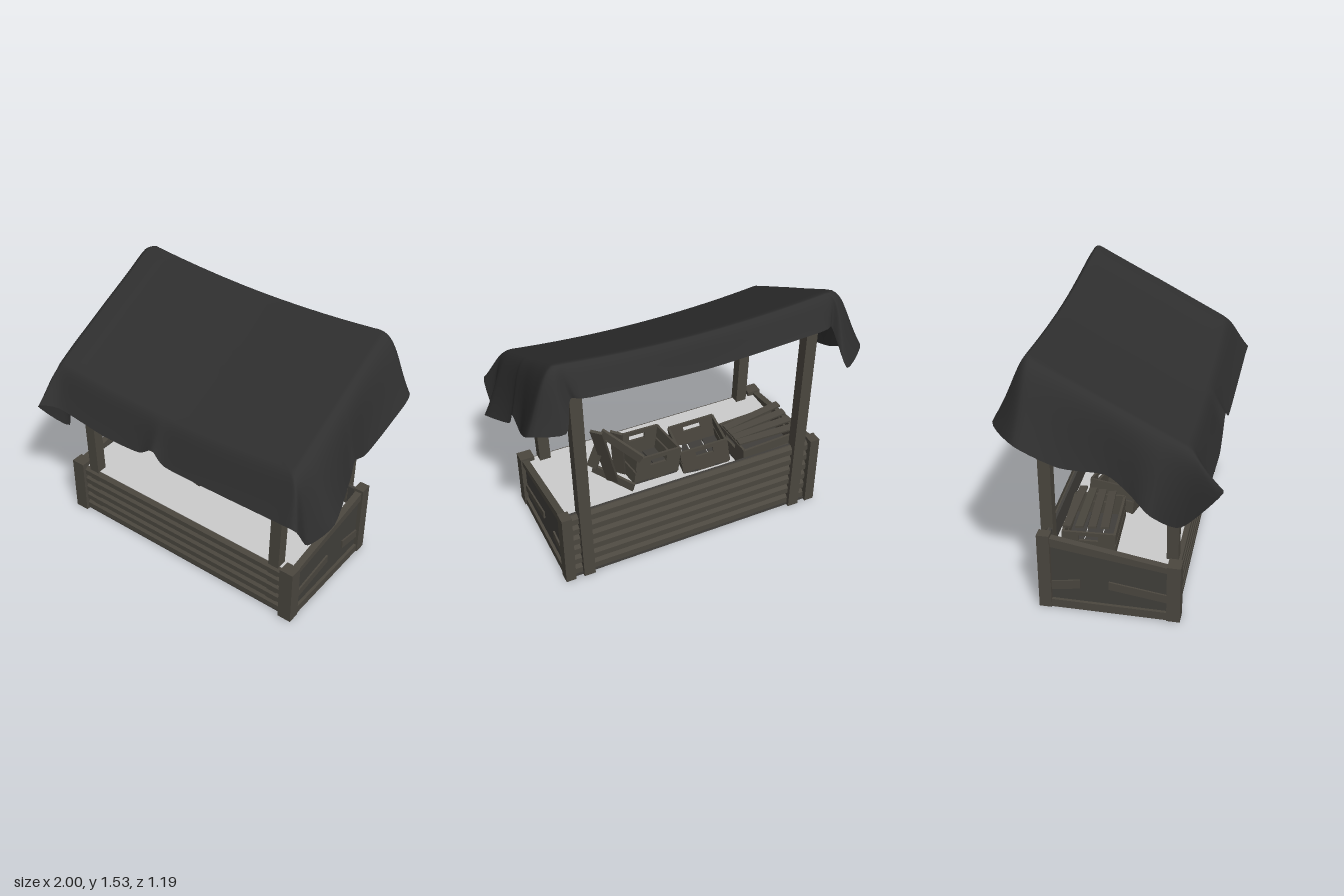
import * as THREE from 'three';

const wood = new THREE.MeshStandardMaterial({ color: 0x4b473f });
const darkWood = new THREE.MeshStandardMaterial({ color: 0x413f3b });
const cloth = new THREE.MeshStandardMaterial({ color: 0x2f2f2f, side: THREE.DoubleSide });
const grey = new THREE.MeshStandardMaterial({ color: 0xcccccc });

function add(parent, name, geo, mat = wood) {
  const m = new THREE.Mesh(geo, mat);
  m.name = name;
  parent.add(m);
  return m;
}
function box(parent, name, w, h, d, x, y, z, mat) {
  const m = add(parent, name, new THREE.BoxGeometry(w, h, d), mat);
  m.position.set(x, y, z);
  return m;
}
// board running from a to b; its wide side follows the hint direction
function board(parent, name, a, b, width, thick, hint = [1, 0, 0]) {
  const p = new THREE.Vector3(...a), q = new THREE.Vector3(...b);
  const dir = q.clone().sub(p), len = dir.length();
  dir.normalize();
  const flat = new THREE.Vector3(...hint).cross(dir).normalize();
  const wide = dir.clone().cross(flat);
  const m = add(parent, name, new THREE.BoxGeometry(width, len, thick));
  m.quaternion.setFromRotationMatrix(new THREE.Matrix4().makeBasis(wide, dir, flat));
  m.position.copy(p).lerp(q, 0.5);
  return m;
}

// flat outline in the z-y plane, extruded along x
function sidePanel(parent, name, pts, thick, x, mat) {
  const shape = new THREE.Shape(pts.map(([z, y]) => new THREE.Vector2(-z, y)));
  const geo = new THREE.ExtrudeGeometry(shape, { depth: thick, bevelEnabled: false });
  geo.translate(0, 0, -thick / 2).rotateY(Math.PI / 2);
  return add(parent, name, geo, mat).position.setX(x);
}

// open crate with handle holes in both ends and slatted sides
function crate(parent, name, w, h, d) {
  const g = new THREE.Group();
  g.name = name;
  const t = 0.014;
  const end = new THREE.Shape();
  end.moveTo(-w / 2, -h / 2).lineTo(w / 2, -h / 2).lineTo(w / 2, h / 2).lineTo(-w / 2, h / 2).closePath();
  const hole = new THREE.Path();
  const hw = w * 0.19, hy = h * 0.24, hh = h * 0.11;
  hole.moveTo(-hw, hy - hh).lineTo(-hw, hy + hh).lineTo(hw, hy + hh).lineTo(hw, hy - hh).closePath();
  end.holes.push(hole);
  const geo = new THREE.ExtrudeGeometry(end, { depth: t, bevelEnabled: false });
  geo.translate(0, 0, -t / 2);
  for (const s of [-1, 1]) {
    add(g, 'crateEnd', geo).position.z = s * (d / 2 - t / 2);
    for (const y of [-0.25, 0.25]) box(g, 'crateSlat', t, h * 0.42, d, s * w / 2, y * h, 0);
  }
  for (let i = 0; i < 3; i++) box(g, 'crateBottom', w * 0.3, t, d, (i - 1) * w * 0.33, -h / 2 + t / 2, 0, darkWood);
  parent.add(g);
  return g;
}

function buildCounter(root) {
  const g = new THREE.Group();
  g.name = 'counter';
  root.add(g);
  box(g, 'base', 1.58, 0.02, 0.74, 0, 0.01, -0.01, darkWood);
  box(g, 'tableTop', 1.54, 0.012, 0.69, 0, 0.327, -0.005, grey);
  box(g, 'frontLining', 1.54, 0.32, 0.015, 0, 0.165, 0.335, darkWood);
  box(g, 'backLining', 1.54, 0.455, 0.015, 0, 0.232, -0.345, darkWood);

  // bevelled wall boards; dir is the side they face
  const rows = (name, count, height, z, dir) => {
    const h = height / count;
    const profile = [[0, 0], [0.008, 0], [0.027, h * 0.25], [0.027, h * 0.75], [0.008, h], [0, h]];
    for (let i = 0; i < count; i++) {
      sidePanel(g, name, profile.map(([d, y]) => [z + dir * d, y + i * h]), 1.51, 0);
    }
  };
  rows('frontBoard', 5, 0.33, 0.34, 1);
  rows('backBoard', 6, 0.46, -0.352, -1);

  for (const s of [-1, 1]) {
    // corner posts
    box(g, 'frontCornerPost', 0.085, 0.36, 0.075, s * 0.777, 0.18, 0.3475);
    box(g, 'backCornerPost', 0.06, 0.475, 0.07, s * 0.79, 0.2375, -0.365);
    // sloped side walls with rails and battens
    sidePanel(g, 'sideWall', [[0.34, 0.0], [0.34, 0.33], [-0.36, 0.45], [-0.36, 0.0]], 0.02, s * 0.785, darkWood);
    sidePanel(g, 'sideTopRail', [[0.33, 0.31], [0.33, 0.345], [-0.35, 0.46], [-0.35, 0.405]], 0.04, s * 0.79);
    sidePanel(g, 'sideBottomRail', [[0.33, 0], [0.33, 0.05], [-0.35, 0.05], [-0.35, 0]], 0.045, s * 0.79);
    sidePanel(g, 'longBatten', [[0.31, 0.11], [0.31, 0.16], [-0.01, 0.205], [-0.01, 0.155]], 0.03, s * 0.79);
    sidePanel(g, 'shortBatten', [[-0.17, 0.14], [-0.17, 0.195], [-0.34, 0.165], [-0.34, 0.11]], 0.03, s * 0.79);
    // canopy posts
    board(g, 'frontCanopyPost', [s * 0.662, 0, 0.322], [s * 0.69, 1.1, 0.322], 0.068, 0.064);
    board(g, 'backCanopyPost', [s * 0.675, 0, -0.367], [s * 0.695, 1.45, -0.367], 0.068, 0.068);
  }
}

function buildGoods(root) {
  const g = new THREE.Group();
  g.name = 'goods';
  root.add(g);
  const a = crate(g, 'leftCrate', 0.28, 0.17, 0.27);
  a.position.set(-0.18, 0.42, -0.07);
  a.rotation.set(0.05, -0.16, -0.13);
  const b = crate(g, 'rightCrate', 0.29, 0.18, 0.26);
  b.position.set(0.16, 0.46, -0.06);
  b.rotation.set(0, 0.12, 0.13);
  const c = crate(g, 'backCrate', 0.28, 0.14, 0.39);
  c.position.set(-0.55, 0.403, -0.14);
  c.rotation.y = Math.PI / 2 + 0.05;
  // loose slats lying on the back crate
  for (let i = 0; i < 4; i++) {
    board(g, 'looseSlat', [-0.74, 0.515 - i * 0.006, -0.04 - i * 0.07], [-0.35, 0.488 + i * 0.005, -0.08 - i * 0.055],
      0.045, 0.012, [0, 0.1, 1]);
  }
  // broken pallet boards leaning at the back, facing diagonally
  const diagonal = [1, 0, 1], up = [0, 1, 0];
  board(g, 'palletUpright', [0.37, 0.47, -0.15], [0.41, 0.83, -0.22], 0.07, 0.016, diagonal);
  board(g, 'palletUpright', [0.44, 0.49, -0.22], [0.57, 0.98, -0.34], 0.07, 0.016, diagonal);
  board(g, 'palletCross', [0.35, 0.78, -0.43], [0.51, 0.89, -0.25], 0.055, 0.016, up);
  board(g, 'palletCross', [0.35, 0.475, -0.31], [0.52, 0.535, -0.12], 0.055, 0.016, up);
  board(g, 'palletSplinter', [0.57, 0.66, -0.24], [0.51, 0.86, -0.27], 0.06, 0.014, diagonal);
}

// draped canopy: sagging top, rounded rim, skirt falling to an uneven hem
function buildCanopy(root) {
  const roof = (x, z) => 1.32 - 0.525 * z - 0.05 * Math.max(0, 1 - (x / 0.8) ** 2);
  // rim x, rim z, hem x, hem y, hem z
  const edge = [
    [-0.83, 0.41, -0.82, 0.63, 0.38], [-0.80, 0.42, -0.84, 0.88, 0.59], [-0.72, 0.42, -0.74, 0.87, 0.52],
    [-0.40, 0.42, -0.40, 0.83, 0.52], [-0.15, 0.42, -0.15, 0.83, 0.51], [-0.05, 0.42, -0.05, 0.89, 0.51],
    [0.05, 0.42, 0.05, 0.83, 0.52], [0.40, 0.42, 0.40, 0.84, 0.53], [0.75, 0.42, 0.78, 0.86, 0.54],
    [0.81, 0.42, 0.92, 0.86, 0.54], [0.83, 0.40, 0.92, 0.68, 0.42], [0.83, 0.28, 1.00, 0.78, 0.30],
    [0.83, 0.05, 0.93, 0.88, 0.05], [0.83, 0.00, 0.92, 0.97, 0.00], [0.83, -0.12, 0.92, 0.94, -0.12],
    [0.83, -0.30, 0.96, 1.07, -0.30], [0.83, -0.40, 0.97, 1.17, -0.45], [0.80, -0.42, 0.80, 1.20, -0.54],
    [0.75, -0.42, 0.74, 1.34, -0.46], [0.65, -0.42, 0.65, 1.35, -0.50], [0.00, -0.42, 0.00, 1.31, -0.49],
    [-0.68, -0.42, -0.68, 1.35, -0.50], [-0.76, -0.42, -0.77, 1.33, -0.46], [-0.79, -0.42, -0.80, 1.14, -0.60],
    [-0.83, -0.38, -1.00, 1.13, -0.43], [-0.83, -0.20, -0.95, 1.00, -0.22], [-0.83, 0.00, -0.89, 0.95, 0.00],
    [-0.83, 0.12, -0.90, 0.86, 0.12], [-0.83, 0.27, -0.95, 0.77, 0.24],
  ];
  const loop = (pts) => new THREE.CatmullRomCurve3(pts, true, 'catmullrom', 0.35);
  const rim = loop(edge.map((e) => new THREE.Vector3(e[0], 0, e[1])));
  const hem = loop(edge.map((e) => new THREE.Vector3(e[2], e[3], e[4])));
  const n = edge.length * 5, topRings = 8, skirtRings = 12, rings = topRings + skirtRings;
  const pos = [], idx = [];
  for (let i = 0; i < n; i++) {
    const r = rim.getPoint(i / n), h = hem.getPoint(i / n);
    const onRoof = (s) => new THREE.Vector3(r.x * s, roof(r.x * s, r.z * s), r.z * s);
    const start = onRoof(0.95), bend = onRoof(1.05);
    bend.y = Math.min(bend.y, start.y) - 0.005;
    const fall = onRoof(1.03).lerp(h, 0.3);
    fall.y = (start.y + h.y) / 2;
    const skirt = new THREE.CubicBezierCurve3(start, bend, fall, h);
    for (let k = 0; k <= rings; k++) {
      const p = k <= topRings ? onRoof(0.95 * k / topRings) : skirt.getPoint((k - topRings) / skirtRings);
      pos.push(p.x, p.y, p.z);
      if (k === rings) continue;
      const a = i * (rings + 1) + k, b = ((i + 1) % n) * (rings + 1) + k;
      idx.push(a, a + 1, b + 1);
      if (k > 0) idx.push(a, b + 1, b);
    }
  }
  const geo = new THREE.BufferGeometry();
  geo.setAttribute('position', new THREE.Float32BufferAttribute(pos, 3));
  geo.setIndex(idx);
  geo.computeVertexNormals();
  // the centre points share the normal of the sloping top
  for (let i = 0; i < n; i++) geo.attributes.normal.setXYZ(i * (rings + 1), 0, 0.885, 0.465);
  add(root, 'canopy', geo, cloth);
}

export function createModel() {
  const root = new THREE.Group();
  root.name = 'marketStall';
  buildCounter(root);
  buildGoods(root);
  buildCanopy(root);
  return root;
}
